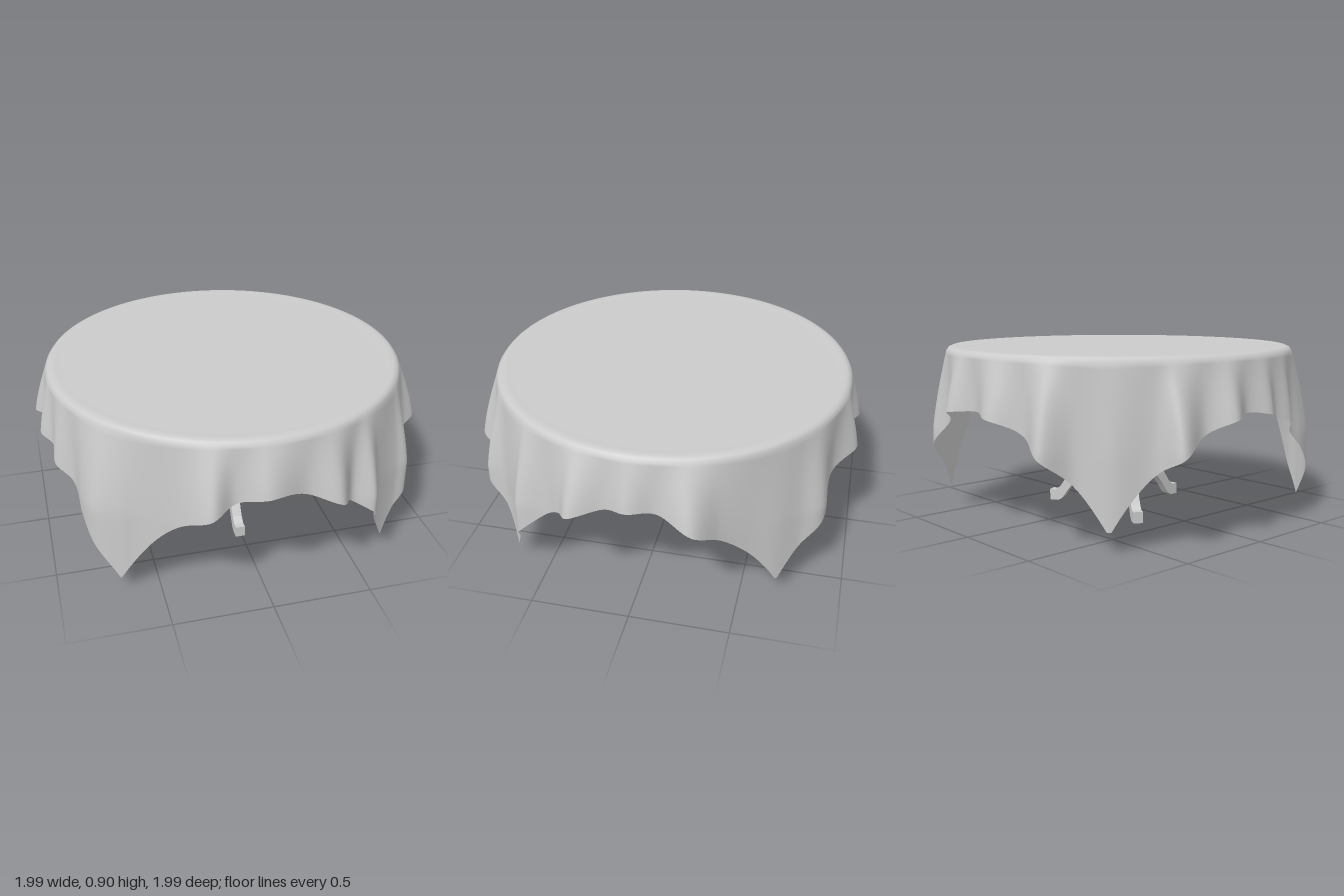
import * as THREE from 'three';

const material = new THREE.MeshStandardMaterial({ color: 0xcccccc });
const clothMaterial = new THREE.MeshStandardMaterial({ color: 0xcccccc, side: THREE.DoubleSide });
const flatMaterial = new THREE.MeshStandardMaterial({ color: 0xcccccc, flatShading: true });

function addMesh(parent, name, geometry, mat = material) {
  const mesh = new THREE.Mesh(geometry, mat);
  mesh.name = name;
  parent.add(mesh);
  return mesh;
}

// Folds of the hanging cloth: [angle in degrees from +x towards +z, radius]
const folds = [
  [0, 0.985], [7, 0.95], [16, 1.035], [21, 0.98], [28, 0.955], [36, 1.025], [40, 0.985], [46, 0.96],
  [52, 0.965], [58, 1.025], [63, 0.945], [71, 1.025], [80, 0.95], [92, 0.995], [101, 0.94],
  [107, 1.02], [117, 0.95], [129, 0.945], [135, 0.98], [142, 1.015], [148, 0.99], [155, 0.945],
  [162, 0.985], [169, 0.95], [175, 0.99], [183, 0.945], [190, 1.01], [198, 0.95], [206, 1.045],
  [212, 0.945], [224, 0.955], [235, 0.935], [243, 1.035], [250, 0.945], [260, 1.01], [270, 0.935],
  [279, 1.01], [290, 0.94], [301, 1.015], [308, 0.97], [316, 0.955], [325, 0.94], [334, 0.96],
  [343, 1.04], [352, 0.95],
];

// Length of cloth hanging at an angle: a square cloth over a round top
function dropAt(angle) {
  const quarter = Math.PI / 2;
  const off = Math.abs(angle - Math.round(angle / quarter) * quarter);
  const t = Math.min(1, (1 / Math.cos(off) - 1) / (Math.SQRT2 - 1));
  return 0.28 + 0.54 * Math.pow(t, 0.9) + 0.008 * Math.sin(angle * 11);
}

function clothGeometry() {
  const around = 400, skirtRows = 22;
  const hem = new THREE.CatmullRomCurve3(folds.map(([deg, r]) => {
    const a = THREE.MathUtils.degToRad(deg);
    return new THREE.Vector3(r * Math.cos(a), 0, r * Math.sin(a));
  }), true);
  // Flat top and rounded rim as [radius, height]
  const rim = [[0.001, 0.896], [0.45, 0.896], [0.83, 0.896], [0.87, 0.899], [0.897, 0.899], [0.915, 0.892], [0.927, 0.875]];
  const [rimRadius, rimY] = rim[rim.length - 1];
  const rows = rim.length + skirtRows;
  const positions = [], index = [];
  const columns = Array.from({ length: around }, (_, i) => {
    const p = hem.getPoint(i / around);
    const angle = Math.atan2(p.z, p.x);
    return { angle, radius: Math.hypot(p.x, p.z), drop: dropAt(angle) - (0.9 - rimY) };
  });
  for (let j = 0; j < rows; j++) {
    for (const { angle, radius, drop } of columns) {
      let r, y, open = 0;
      if (j < rim.length) {
        [r, y] = rim[j];
      } else {
        // Folds open out steadily, over a longer way where the cloth hangs lower
        const depth = drop * (j - rim.length + 1) / skirtRows;
        const s = Math.min(1, depth / Math.min(drop, 0.42));
        open = 0.6 * s + 0.4 * Math.sin(s * Math.PI / 2);
        r = rimRadius + (radius - rimRadius) * open;
        y = rimY - depth;
      }
      // The covered top sits slightly to the back
      positions.push(r * Math.cos(angle), y, r * Math.sin(angle) - 0.008 * (1 - open));
    }
  }
  for (let j = 0; j < rows - 1; j++) {
    for (let i = 0; i < around; i++) {
      const a = j * around + i, b = j * around + (i + 1) % around;
      index.push(a, b, a + around, b, b + around, a + around);
    }
  }
  const geometry = new THREE.BufferGeometry();
  geometry.setAttribute('position', new THREE.Float32BufferAttribute(positions, 3));
  geometry.setIndex(index);
  geometry.computeVertexNormals();
  return geometry;
}

// S-curved leg, drawn as distance from the column and height
function legGeometry() {
  const outline = [
    [0, 0.06], [0.04, 0.06], [0.085, 0.085], [0.14, 0.14], [0.19, 0.163], [0.23, 0.15], [0.27, 0.115],
    [0.31, 0.065], [0.345, 0.015], [0.37, 0], [0.42, 0], [0.42, 0.06], [0.385, 0.06], [0.355, 0.085],
    [0.315, 0.145], [0.27, 0.195], [0.225, 0.218], [0.19, 0.223], [0.15, 0.212], [0.105, 0.17],
    [0.06, 0.125], [0, 0.1],
  ];
  const shape = new THREE.Shape(outline.map(([x, y]) => new THREE.Vector2(x, y)));
  const geometry = new THREE.ExtrudeGeometry(shape, { depth: 0.05, bevelEnabled: false });
  return geometry.translate(0, 0, -0.025);
}

export function createModel() {
  const table = new THREE.Group();
  table.name = 'table';

  addMesh(table, 'tablecloth', clothGeometry(), clothMaterial);

  // Round board under the cloth
  const board = addMesh(table, 'tabletop', new THREE.CylinderGeometry(0.9, 0.9, 0.07, 96));
  board.position.set(0, 0.85, -0.008);

  // Pedestal, a little off centre
  const pedestal = new THREE.Group();
  pedestal.name = 'pedestal';
  pedestal.position.x = -0.01;
  table.add(pedestal);

  // Turned column
  const profile = [
    [0, 0.055], [0.05, 0.055], [0.05, 0.25], [0.06, 0.255], [0.06, 0.3], [0.048, 0.305], [0.044, 0.36],
    [0.052, 0.375], [0.052, 0.395], [0.042, 0.405], [0.046, 0.43], [0.056, 0.455], [0.056, 0.48],
    [0.05, 0.49], [0.06, 0.505], [0.073, 0.52], [0.073, 0.83],
  ].map(([r, y]) => new THREE.Vector2(r, y));
  addMesh(pedestal, 'column', new THREE.LatheGeometry(profile, 24));

  // Three legs, one pointing to the front
  const leg = legGeometry();
  for (let i = 0; i < 3; i++) {
    addMesh(pedestal, 'leg' + (i + 1), leg, flatMaterial).rotation.y = -Math.PI / 2 + i * Math.PI * 2 / 3;
  }
  return table;
}
